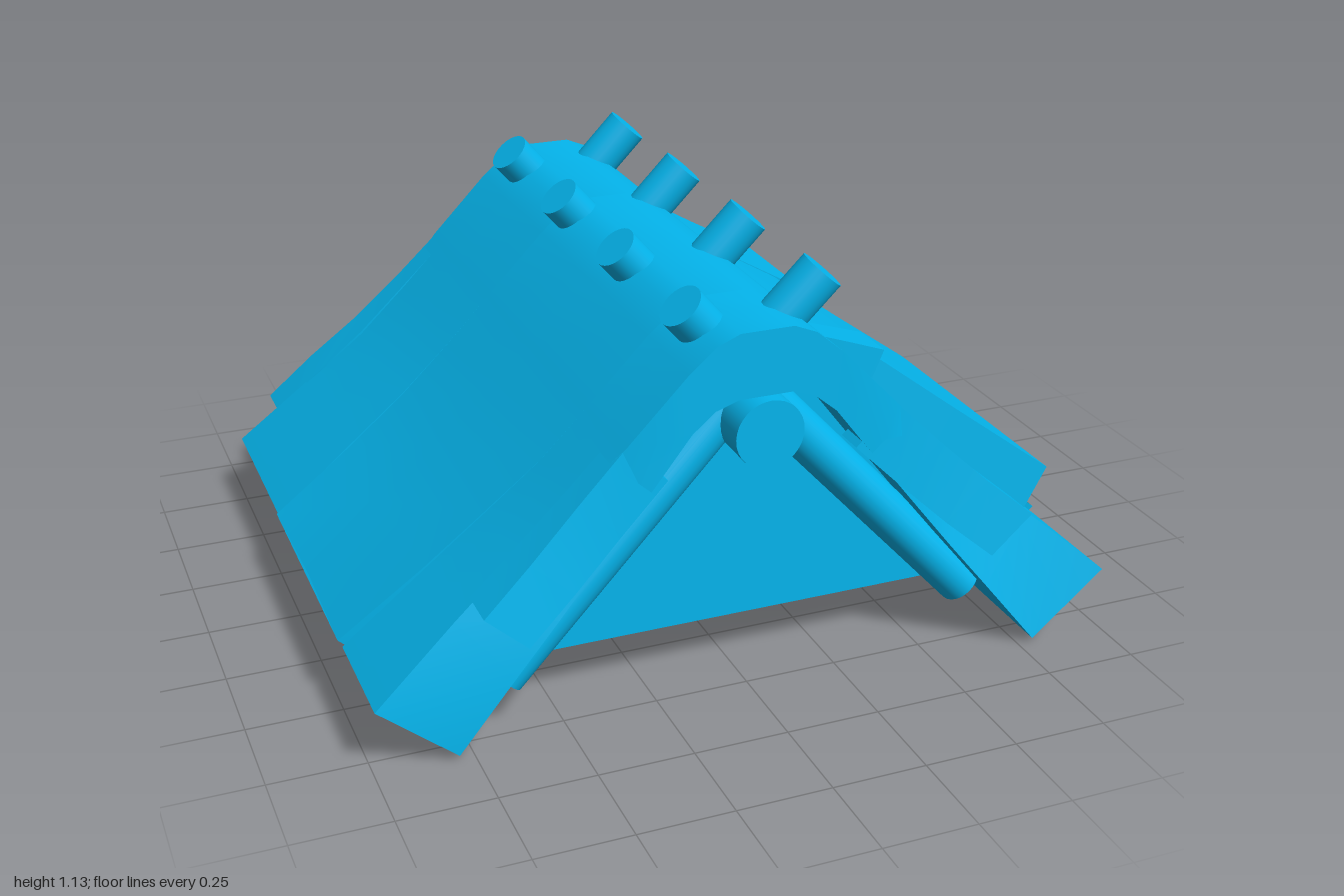
import * as THREE from 'three';
import { toCreasedNormals } from 'three/addons/utils/BufferGeometryUtils.js';

const material = new THREE.MeshStandardMaterial({ color: 0x04b6ee });

// Closed solid through rings of [x, y, z] points, all with the same count
function loft(rings) {
  const n = rings[0].length, last = (rings.length - 1) * n;
  const pos = rings.flat(2), index = [];
  for (let i = 0; i < rings.length - 1; i++) {
    for (let j = 0; j < n; j++) {
      const a = i * n + j, b = i * n + (j + 1) % n;
      index.push(a, b, b + n, a, b + n, a + n);
    }
  }
  for (let j = 1; j < n - 1; j++) {
    index.push(0, j + 1, j, last, last + j, last + j + 1);
  }
  // Turn the faces outward if the signed volume is negative
  const p = (i) => new THREE.Vector3().fromArray(pos, i * 3);
  let volume = 0;
  for (let i = 0; i < index.length; i += 3) {
    volume += p(index[i]).dot(p(index[i + 1]).cross(p(index[i + 2])));
  }
  if (volume < 0) index.reverse();
  const g = new THREE.BufferGeometry();
  g.setAttribute('position', new THREE.Float32BufferAttribute(pos, 3));
  g.setIndex(index);
  return toCreasedNormals(g, 0.6);
}

function add(parent, name, geometry) {
  const mesh = new THREE.Mesh(geometry, material);
  mesh.name = name;
  parent.add(mesh);
  return mesh;
}

// Capped round bar between two points
function bar(parent, name, from, to, radius, sides = 24) {
  const a = new THREE.Vector3(...from), b = new THREE.Vector3(...to);
  const mesh = add(parent, name, new THREE.CylinderGeometry(radius, radius, a.distanceTo(b), sides));
  mesh.position.copy(a).add(b).multiplyScalar(0.5);
  mesh.quaternion.setFromUnitVectors(new THREE.Vector3(0, 1, 0), b.sub(a).normalize());
}

// Slab following a slope: rows of [x, y, zFront, zBack], thickened by (dx, dy)
function slab(parent, name, rows, dx, dy) {
  add(parent, name, loft(rows.map(([x, y, f, b]) => [
    [x, y, b], [x, y, f], [x + dx, y + dy, f], [x + dx, y + dy, b],
  ])));
}

// Half profile of the roof shell down to the eave: outer x, y, inner x, y
const profile = [
  [0.07, 1.01, 0.07, 0.84], [0.13, 0.985, 0.13, 0.82], [0.2, 0.925, 0.19, 0.77],
  [0.36, 0.76, 0.31, 0.615], [0.48, 0.635, 0.4, 0.5], [0.62, 0.5, 0.53, 0.335],
  [0.78, 0.365, 0.64, 0.2],
];
const endEave = [0.992, 0.182, 0.79, 0.014], middleEave = [1, 0.194, 0.787, 0.002];

// z of a bay edge, read from [x, z] stops
function edge(x, stops) {
  const k = stops.findIndex((s) => s[0] >= x);
  if (k <= 0) return stops.at(k)[1];
  const [x0, z0] = stops[k - 1], [x1, z1] = stops[k];
  return z0 + (z1 - z0) * (x - x0) / (x1 - x0);
}

// One bay of the shell from right eave to left eave; edges give z stops per side.
// The outer face follows all stops, the inner face runs straight from first to last.
function bay(parent, name, eave, frontEdge, backEdge, dip) {
  const half = [...profile, eave];
  const stations = [...half.map((p) => [...p, -1]).reverse(), ...half.map((p) => [...p, 1])];
  add(parent, name, loft(stations.map(([ox, oy, ix, iy, s]) => {
    const fs = frontEdge(s), bs = backEdge(s);
    const f = edge(ox, fs), b = edge(ox, bs), m = 0.45 * f + 0.55 * b;
    const fi = edge(ox, [fs[0], fs.at(-1)]), bi = edge(ox, [bs[0], bs.at(-1)]);
    const d = dip * Math.max(0, (ox - 0.62) / 0.375);
    return [
      [s * ox, oy, b], [s * (ox - d * 0.6), oy - d, m], [s * ox, oy, f],
      [s * ix, iy, fi], [s * (ix + d * 0.3), iy + d, m], [s * ix, iy, bi],
    ];
  })));
}

export function createModel() {
  const model = new THREE.Group();
  model.name = 'roof';

  // Shell in three bays, split at the eaves, its ends drawn in behind the flares
  const shell = new THREE.Group();
  shell.name = 'roofShell';
  model.add(shell);
  bay(shell, 'frontBay', endEave,
    (s) => [[0.36, 0.822], [0.48, 0.775], [0.62, 0.765], [0.78, 0.785], [1, s > 0 ? 0.85 : 0.82]],
    () => [[0.45, 0.56], [0.62, 0.525], [1, 0.497]], 0);
  bay(shell, 'middleBay', middleEave,
    () => [[0.45, 0.56], [0.62, 0.52], [1, 0.484]],
    () => [[0.45, -0.25], [1, -0.246]], 0.026);
  bay(shell, 'backBay', endEave,
    () => [[0.45, -0.25], [1, -0.26]],
    (s) => [[0.36, -0.8], [0.48, -0.75], [0.7, -0.74], [1, s > 0 ? -0.82 : -0.8]], 0);

  // Flared boards along the gable ends
  for (const s of [-1, 1]) {
    slab(model, 'frontFlare', [
      [s * 0.36, 0.758, 0.819, 0.74], [s * 0.48, 0.64, 0.83, 0.745],
      [s * 0.61, 0.518, 0.853, 0.75], [s * 0.735, 0.412, 0.88, 0.765],
    ], -s * 0.11, -0.1);
    slab(model, 'backFlare', [
      [s * 0.36, 0.758, -0.72, -0.797], [s * 0.48, 0.64, -0.725, -0.808],
      [s * 0.62, 0.508, -0.725, -0.83], [s * 0.75, 0.395, -0.74, -0.86], [s * 0.88, 0.27, -0.775, -0.89],
    ], -s * 0.12, -0.15);
  }

  // Raised panels and split strips on the left slope
  const panels = new THREE.Group();
  panels.name = 'raisedPanels';
  model.add(panels);
  slab(panels, 'largePanel', [
    [0.2, 0.92, 0.59, 0.02], [0.4, 0.8, 0.62, 0], [0.62, 0.635, 0.655, -0.04], [0.885, 0.44, 0.705, -0.1],
  ], -0.06, -0.11);
  slab(panels, 'largePanelStrip', [
    [0.19, 0.93, 0.02, -0.095], [0.42, 0.735, -0.02, -0.11], [0.58, 0.61, -0.03, -0.14],
    [0.66, 0.545, -0.06, -0.175], [0.785, 0.5, -0.1, -0.235],
  ], -0.06, -0.09);
  slab(panels, 'smallUpperPanel', [
    [0.19, 0.93, 0.73, 0.63], [0.26, 0.905, 0.73, 0.62], [0.36, 0.87, 0.735, 0.61],
  ], -0.03, -0.07);
  slab(panels, 'smallUpperStrip', [
    [0.19, 0.935, 0.63, 0.605], [0.27, 0.87, 0.62, 0.595], [0.34, 0.865, 0.61, 0.58],
  ], -0.03, -0.07);
  slab(panels, 'backPanel', [
    [0.27, 0.845, -0.26, -0.6], [0.42, 0.755, -0.255, -0.62], [0.62, 0.64, -0.25, -0.66],
  ], -0.05, -0.09);
  slab(panels, 'backPanelStrip', [
    [0.27, 0.86, -0.6, -0.66], [0.4, 0.735, -0.62, -0.675],
    [0.48, 0.675, -0.635, -0.69], [0.565, 0.66, -0.65, -0.73],
  ], -0.04, -0.07);
  slab(panels, 'lowPanel', [
    [0.71, 0.425, -0.285, -0.59], [0.82, 0.355, -0.285, -0.6], [0.93, 0.285, -0.28, -0.62],
  ], -0.03, -0.05);
  slab(panels, 'lowPanelStrip', [
    [0.71, 0.433, -0.59, -0.625], [0.8, 0.368, -0.6, -0.64], [0.88, 0.32, -0.61, -0.685],
  ], -0.03, -0.05);

  // Pegs along both sides of the ridge
  for (const z of [-0.64, -0.2, 0.24, 0.68]) {
    bar(model, 'leftPeg', [0.07, 0.935, z - 0.014], [0.203, 1.088, z + 0.01], 0.06);
    bar(model, 'rightPeg', [-0.05, 0.91, z - 0.01], [-0.168, 1.045, z + 0.006], 0.06);
  }

  // Ridge beam
  bar(model, 'ridgeBeam', [0, 0.75, -0.832], [0, 0.75, 0.852], 0.09, 32);

  // Gable walls and the round rafters in front of them
  const outline = new THREE.Shape([
    [-0.69, 0.155], [0.69, 0.155], [0.62, 0.27], [0.22, 0.78],
    [0.08, 0.88], [-0.08, 0.88], [-0.22, 0.78], [-0.62, 0.27],
  ].map(([x, y]) => new THREE.Vector2(x, y)));
  for (const s of [-1, 1]) {
    const wall = add(model, 'gableWall', new THREE.ExtrudeGeometry(outline, { depth: 0.14, bevelEnabled: false }));
    wall.position.z = s > 0 ? 0.52 : -0.65;
    for (const side of [-1, 1]) {
      bar(model, 'rafter', [side * 0.04, 0.79, s * 0.7], [side * 0.642, 0.142, s * 0.7], 0.06);
    }
  }
  return model;
}
